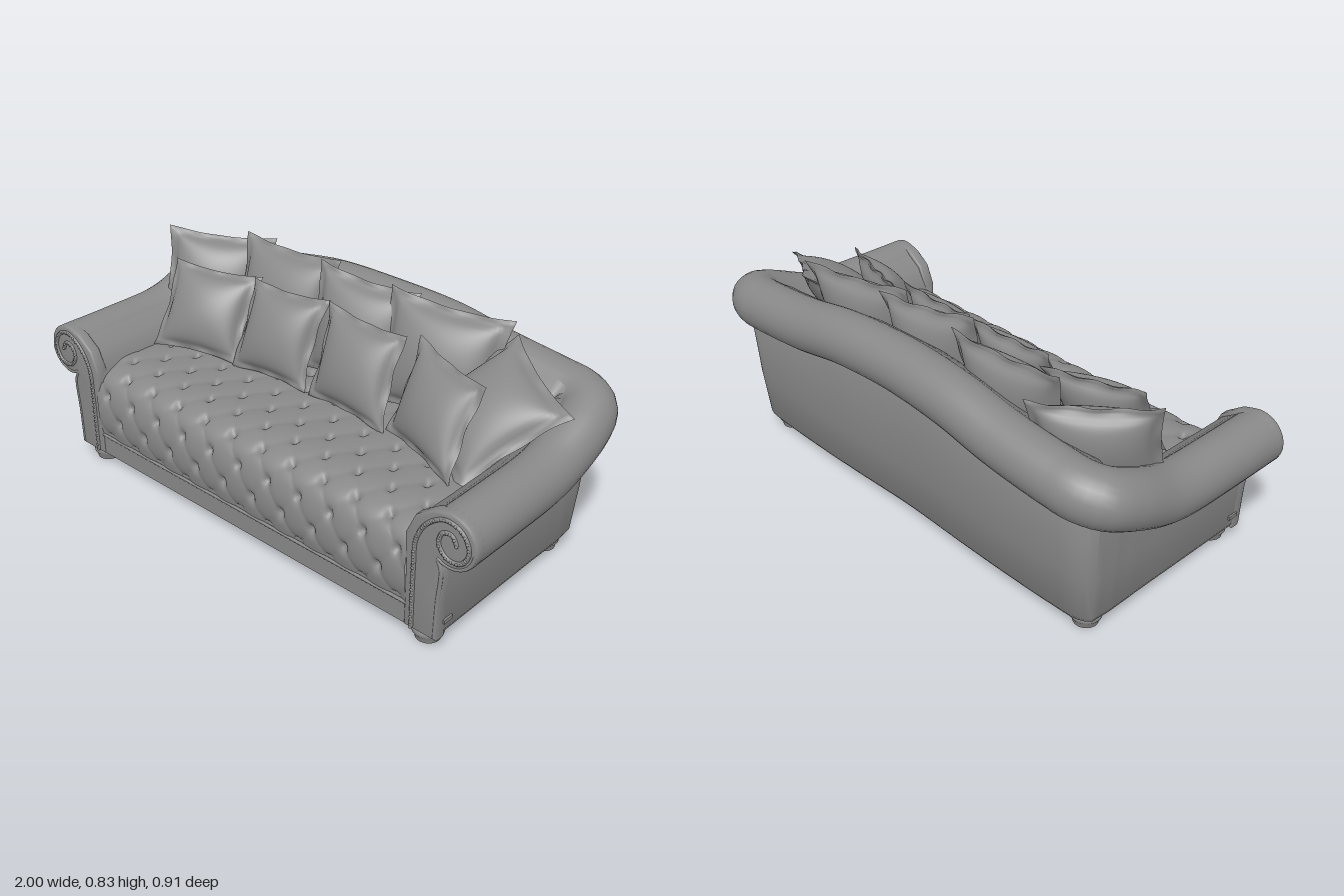
import * as THREE from 'three';
import { toCreasedNormals } from 'three/addons/utils/BufferGeometryUtils.js';

const V = (x, y, z) => new THREE.Vector3(x, y, z);
const fabric = new THREE.MeshStandardMaterial({ color: 0x888888, side: THREE.DoubleSide });

function add(parent, name, geometry) {
  const mesh = new THREE.Mesh(geometry, fabric);
  mesh.name = name;
  parent.add(mesh);
  return mesh;
}

// Surface from a rule f(u, v) -> Vector3; it faces along du x dv
function grid(nu, nv, f) {
  const pos = [], index = [];
  for (let j = 0; j <= nv; j++)
    for (let i = 0; i <= nu; i++) pos.push(...f(i / nu, j / nv).toArray());
  for (let j = 0; j < nv; j++)
    for (let i = 0; i < nu; i++) {
      const a = j * (nu + 1) + i, b = a + 1, c = a + nu + 1, d = c + 1;
      index.push(a, b, c, b, d, c);
    }
  const g = new THREE.BufferGeometry();
  g.setAttribute('position', new THREE.Float32BufferAttribute(pos, 3));
  g.setIndex(index);
  g.computeVertexNormals();
  return g;
}

// Centre line of the roll: left arm, back hump, right arm
const half = [
  [0.902, 0.445, 0.425], [0.902, 0.445, 0.2], [0.902, 0.45, 0.0], [0.902, 0.47, -0.1],
  [0.9, 0.532, -0.25], [0.878, 0.56, -0.32], [0.82, 0.572, -0.353], [0.73, 0.58, -0.36],
  [0.5, 0.604, -0.363], [0.28, 0.64, -0.36],
];
const rollPath = new THREE.CatmullRomCurve3([
  ...half.map(p => V(...p)), V(0, 0.652, -0.353),
  ...half.slice().reverse().map(([x, y, z]) => V(-x, y, z)),
]);

// Upholstered wall carried round below the roll
function wallGeometry() {
  const n = 120, m = 8;
  return toCreasedNormals(grid(n, m, (u, v) => {
    const p = rollPath.getPointAt(u), t = rollPath.getTangentAt(u);
    t.y = 0;
    t.normalize();
    const out = V(-t.z, 0, t.x), k = Math.abs(out.z);
    const section = [
      [-0.155, 0.052], [-0.045 + 0.025 * k, 0.052], [-0.033 + 0.03 * k, 0.075],
      [-0.026 + 0.045 * k, 0.25], [-0.02 + 0.06 * k, p.y - 0.06],
      [-0.05, p.y + 0.08], [-0.125, p.y + 0.03], [-0.168, p.y - 0.05], [-0.17 - 0.03 * k, 0.2],
    ];
    const [off, y] = section[Math.round(v * m)];
    return V(p.x, y, p.z).addScaledVector(out, off);
  }), 0.7);
}

// Seat profile from the front rail up and back, with staggered button tufts
const seatProfile = new THREE.CatmullRomCurve3([
  V(0, 0.13, 0.43), V(0, 0.2, 0.445), V(0, 0.3, 0.443), V(0, 0.37, 0.415),
  V(0, 0.408, 0.34), V(0, 0.415, 0.15), V(0, 0.415, -0.24),
]);
function seatGeometry() {
  const length = seatProfile.getLength();
  return grid(176, 110, (u, v) => {
    const p = seatProfile.getPointAt(v), t = seatProfile.getTangentAt(v);
    const x = (u - 0.5) * 1.49;
    const s = v * length / 0.19, c = x / 0.14;
    const a = Math.sin(Math.PI * (c + s)), b = Math.sin(Math.PI * (c - s));
    const puff = Math.sqrt(Math.abs(a * b));
    const button = Math.exp(-(a * a + b * b) * 5);
    const d = 0.006 * puff - 0.002 - 0.02 * button;
    return V(x, p.y - t.z * d, p.z + t.y * d);
  });
}

// Square cushion with pinched sides and a rippled flange
function addPillow(parent, name, centre, width, height, puff) {
  const w = V(...width), h = V(...height);
  const normal = w.clone().cross(h).normalize();
  const group = new THREE.Group();
  group.name = name;
  group.position.set(...centre);
  for (const side of [1, -1]) {
    add(group, side > 0 ? 'pillowFront' : 'pillowBack', grid(40, 40, (u, v) => {
      const a = (u * 2 - 1) * side, b = v * 2 - 1;
      const fa = Math.max(0, 1 - (a / 0.87) ** 2), fb = Math.max(0, 1 - (b / 0.87) ** 2);
      const edge = Math.max(Math.abs(a), Math.abs(b));
      const ripple = 0.005 * Math.max(0, edge - 0.85) / 0.15 * Math.sin(9 * a + 7 * b + centre[0] * 20);
      const thick = puff * (fa * fb) ** 0.5 + (edge < 0.99 ? 0.006 : 0);
      return V(0, 0, 0)
        .addScaledVector(w, a * (0.54 - 0.05 * (1 - b * b)))
        .addScaledVector(h, b * (0.54 - 0.05 * (1 - a * a)))
        .addScaledVector(normal, side * thick + ripple);
    }));
  }
  parent.add(group);
}

// Scroll-topped front of one arm with its nailhead trim
function addArmFront(parent, s) {
  const group = new THREE.Group();
  group.name = s > 0 ? 'leftArmFront' : 'rightArmFront';
  const pts = [[0.75, 0.06], [0.748, 0.3], [0.742, 0.4], [0.775, 0.475], [0.835, 0.518]];
  for (let i = 0; i <= 16; i++) {
    const a = 1.9 - i * 0.25;
    pts.push([0.902 + 0.089 * Math.cos(a), 0.445 + 0.089 * Math.sin(a)]);
  }
  pts.push([0.873, 0.33], [0.866, 0.2], [0.862, 0.06]);
  const shape = new THREE.Shape(pts.map(([x, y]) => new THREE.Vector2(x * s, y)));
  const panel = new THREE.ExtrudeGeometry(shape, {
    depth: 0.03, bevelSize: 0.008, bevelThickness: 0.008, bevelSegments: 3,
  });
  panel.translate(0, 0, 0.404);
  add(group, 'armPanel', toCreasedNormals(panel, 0.6));

  const line = [[0.773, 0.06], [0.773, 0.3], [0.778, 0.4], [0.818, 0.475], [0.885, 0.517],
    [0.945, 0.5], [0.972, 0.445], [0.945, 0.39], [0.895, 0.385], [0.862, 0.425],
    [0.875, 0.468], [0.91, 0.474], [0.927, 0.445]];
  const trim = new THREE.CatmullRomCurve3(line.map(([x, y]) => V(x * s, y, 0.441)));
  add(group, 'armPiping', new THREE.TubeGeometry(trim, 100, 0.008, 8));
  const bead = new THREE.SphereGeometry(0.006, 8, 6);
  for (let i = 0; i <= 44; i++)
    add(group, 'nailhead', bead).position.copy(trim.getPointAt(i / 44)).add(V(0, 0, 0.005));
  const edge = pts.slice(-12).map(([x, y]) => V(x * s, y, 0.438));
  add(group, 'outerPiping', new THREE.TubeGeometry(new THREE.CatmullRomCurve3(edge), 50, 0.007, 8));
  parent.add(group);
}

export function createModel() {
  const sofa = new THREE.Group();
  sofa.name = 'sofa';

  // Frame
  add(sofa, 'wall', wallGeometry());
  add(sofa, 'roll', new THREE.TubeGeometry(rollPath, 140, 0.097, 28));
  add(sofa, 'base', new THREE.BoxGeometry(1.58, 0.1, 0.73)).position.set(0, 0.102, 0.065);
  add(sofa, 'frontRail', new THREE.BoxGeometry(1.5, 0.08, 0.04)).position.set(0, 0.092, 0.415);
  const railPiping = add(sofa, 'railPiping', new THREE.CylinderGeometry(0.006, 0.006, 1.5, 8));
  railPiping.rotation.z = Math.PI / 2;
  railPiping.position.set(0, 0.133, 0.434);
  add(sofa, 'seat', seatGeometry());

  // Arm fronts, side tags and turned feet
  const footProfile = [[0, 0], [0.043, 0], [0.045, 0.012], [0.046, 0.016], [0.054, 0.027],
    [0.054, 0.038], [0.048, 0.047], [0.04, 0.056]].map(p => new THREE.Vector2(...p));
  const foot = toCreasedNormals(new THREE.LatheGeometry(footProfile, 28), 0.9);
  for (const s of [1, -1]) {
    addArmFront(sofa, s);
    add(sofa, 'sideTag', new THREE.BoxGeometry(0.008, 0.014, 0.042)).position.set(s * 0.874, 0.114, 0.39);
    for (const z of [0.38, -0.268]) add(sofa, 'foot', foot).position.set(s * 0.795, 0, z);
  }

  // Back row of large pillows
  [
    [[-0.715, 0.595, -0.165], [0.33, -0.03, -0.22], [-0.03, 0.33, -0.1]],
    [[-0.37, 0.61, -0.18], [0.42, 0, -0.03], [0, 0.37, -0.11]],
    [[0.03, 0.615, -0.16], [0.38, -0.03, -0.06], [0, 0.37, -0.09]],
    [[0.37, 0.61, -0.18], [0.43, -0.02, -0.08], [0, 0.37, -0.11]],
    [[0.66, 0.57, -0.07], [0.33, -0.09, 0.19], [0.22, 0.24, -0.24]],
  ].forEach(([c, w, h]) => addPillow(sofa, 'largePillow', c, w, h, 0.08));

  // Front row of small pillows
  [
    [[-0.565, 0.572, 0.035], [0.33, -0.01, -0.1], [-0.02, 0.28, -0.15]],
    [[-0.22, 0.578, 0], [0.33, 0.01, -0.02], [0.01, 0.3, -0.12]],
    [[0.15, 0.578, 0], [0.34, -0.01, 0.02], [-0.01, 0.3, -0.12]],
    [[0.525, 0.572, 0.04], [0.33, -0.02, 0.11], [0.01, 0.28, -0.15]],
  ].forEach(([c, w, h]) => addPillow(sofa, 'smallPillow', c, w, h, 0.065));

  return sofa;
}
